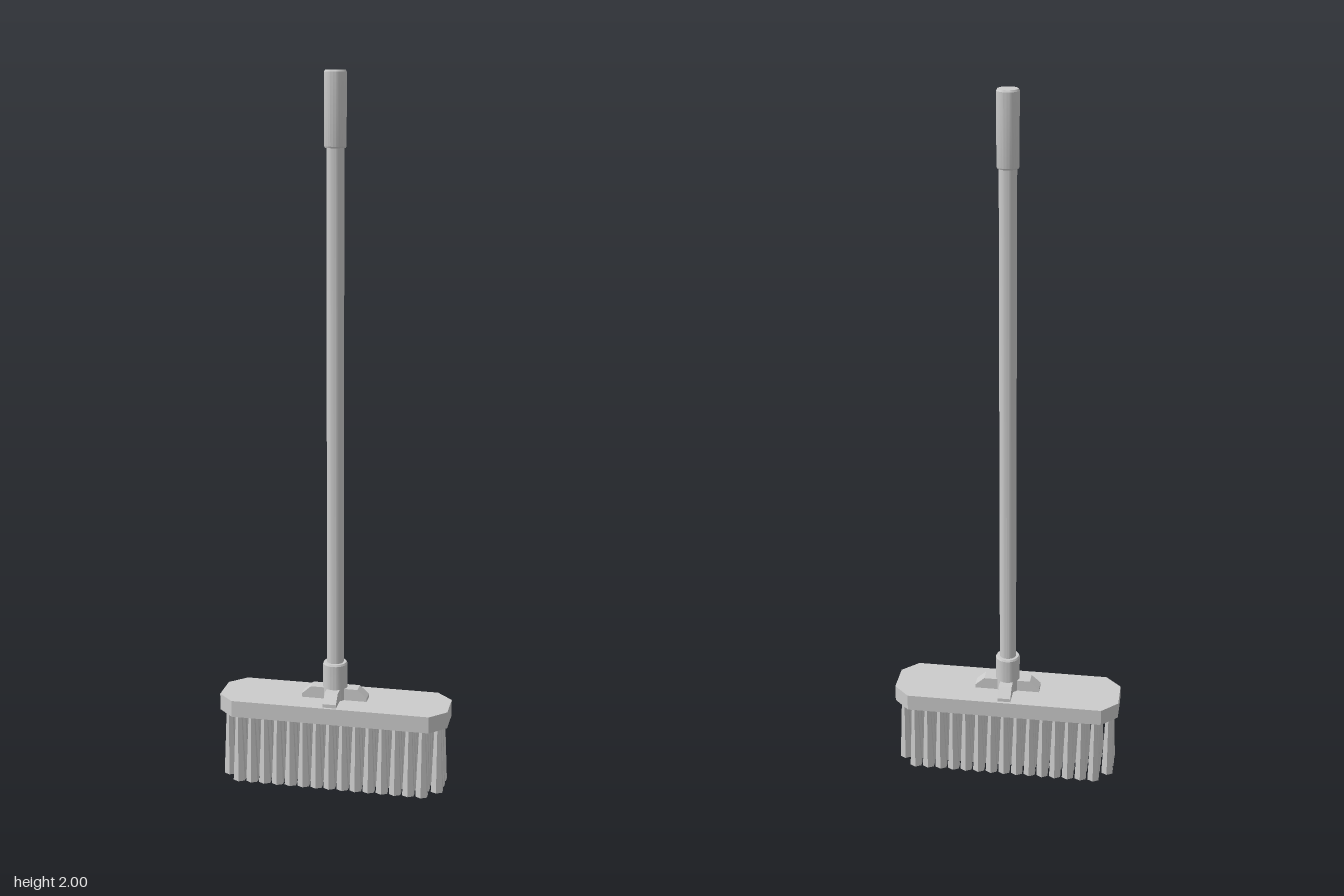
import * as THREE from 'three';
import { toCreasedNormals } from 'three/addons/utils/BufferGeometryUtils.js';

const material = new THREE.MeshStandardMaterial({ color: 0xcccccc });

function add(parent, name, geometry) {
  const mesh = new THREE.Mesh(geometry, material);
  mesh.name = name;
  parent.add(mesh);
  return mesh;
}

// Turned part from [radius, y] pairs, smooth around with crisp rims
function turned(points) {
  const profile = points.map(([r, y]) => new THREE.Vector2(r, y));
  return toCreasedNormals(new THREE.LatheGeometry(profile, 24), 0.5);
}

function extrude(points, depth) {
  const shape = new THREE.Shape(points.map(([x, y]) => new THREE.Vector2(x, y)));
  return new THREE.ExtrudeGeometry(shape, { depth, bevelEnabled: false });
}

export function createModel() {
  const broom = new THREE.Group();
  broom.name = 'broom';

  // Brush head: a plank with cut corners
  const headOutline = [
    [-0.331, -0.046], [-0.285, -0.092], [0.285, -0.092], [0.331, -0.046],
    [0.331, 0.046], [0.285, 0.092], [-0.285, 0.092], [-0.331, 0.046],
  ];
  add(broom, 'head', extrude(headOutline, 0.048).rotateX(-Math.PI / 2).translate(0, 0.196, 0));

  // Bristle tufts: hexagonal, flaring to the floor; corner tufts left out
  const bristles = new THREE.Group();
  bristles.name = 'bristles';
  broom.add(bristles);
  const tuft = new THREE.CylinderGeometry(0.01, 0.019, 0.2, 6).toNonIndexed();
  tuft.computeVertexNormals();
  for (let row = -2; row <= 2; row++) {
    for (let column = -8; column <= 8; column++) {
      if (Math.abs(row) === 2 && Math.abs(column) === 8) continue;
      add(bristles, 'tuft', tuft).position.set(column * 0.038, 0.1, row * 0.0395);
    }
  }

  // Four bracket feet with sloping ends
  const bracket = new THREE.Group();
  bracket.name = 'bracket';
  broom.add(bracket);
  for (let i = 0; i < 4; i++) {
    const reach = i % 2 ? 0.084 : 0.095;
    const profile = [[0, 0.242], [reach, 0.242], [reach, 0.254], [reach - 0.027, 0.278], [0, 0.278]];
    const foot = add(bracket, 'bracketFoot', extrude(profile, 0.038).translate(0, 0, -0.019));
    foot.rotation.y = i * Math.PI / 2;
  }

  // Socket, pole and grip
  add(broom, 'socket', turned([[0, 0.242], [0.035, 0.242], [0.035, 0.348], [0.032, 0.353], [0, 0.353]]));
  add(broom, 'pole', turned([[0, 0.34], [0.024, 0.34], [0.024, 1.81], [0, 1.81]]));
  add(broom, 'grip', turned([[0, 1.798], [0.028, 1.798], [0.03, 1.802], [0.03, 1.995], [0.027, 2], [0, 2]]));

  return broom;
}
